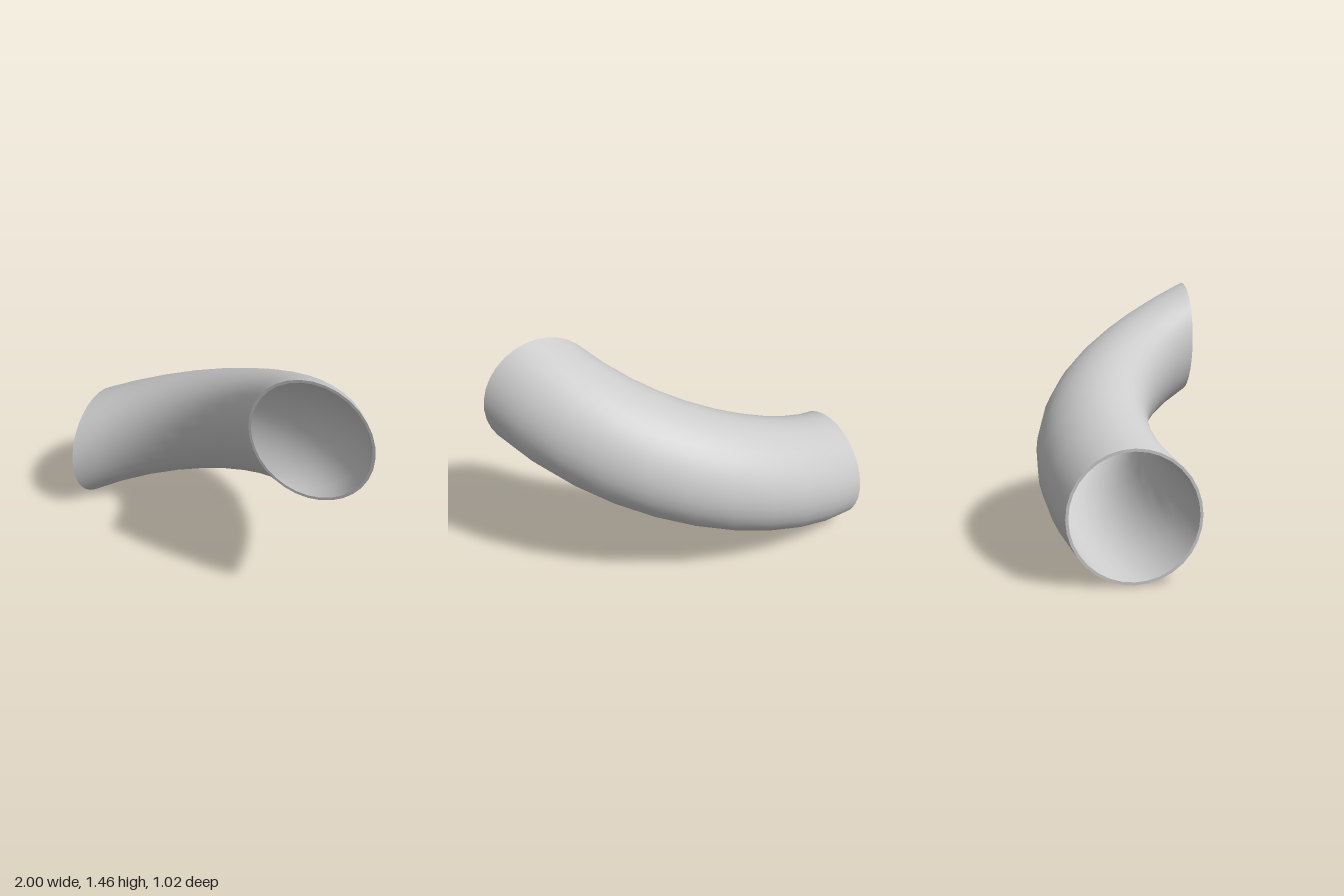
import * as THREE from 'three';

const STEPS = 10, SIDES = 32;
const OUTER = 0.342, INNER = 0.327;
const ARC = { x: -0.462, z: 1.038, radius: 1.24, start: -25.7 };

// One upright circle of the pipe; its plane turns a quarter turn along the bend
function ring(step, radius) {
  const t = step / STEPS;
  const along = THREE.MathUtils.degToRad(ARC.start + 90 * t);
  const turn = t * Math.PI / 2;
  const cx = ARC.x + ARC.radius * Math.sin(along);
  const cz = ARC.z - ARC.radius * Math.cos(along);
  const cy = OUTER + 0.772 * t - 0.017 * Math.sin(Math.PI * t);
  return Array.from({ length: SIDES }, (_, j) => {
    const a = j / SIDES * Math.PI * 2;
    const side = radius * Math.cos(a);
    return [cx - Math.sin(turn) * side, cy + radius * Math.sin(a), cz + Math.cos(turn) * side];
  });
}

// Skin a list of rings, sharing vertices around the seam for smooth normals
function loft(name, rings, material) {
  const index = [];
  for (let i = 0; i < rings.length - 1; i++) {
    for (let j = 0; j < SIDES; j++) {
      const k = (j + 1) % SIDES;
      const a = i * SIDES + j, b = a + SIDES;
      const c = i * SIDES + k, d = c + SIDES;
      index.push(a, b, c, b, d, c);
    }
  }
  const geometry = new THREE.BufferGeometry();
  geometry.setAttribute('position', new THREE.Float32BufferAttribute(rings.flat(2), 3));
  geometry.setIndex(index);
  geometry.computeVertexNormals();
  const mesh = new THREE.Mesh(geometry, material);
  mesh.name = name;
  return mesh;
}

export function createModel() {
  const group = new THREE.Group();
  group.name = 'curvedPipe';
  const material = new THREE.MeshStandardMaterial({ color: 0xcccccc });

  const outer = [], inner = [];
  for (let i = 0; i <= STEPS; i++) {
    outer.push(ring(i, OUTER));
    inner.push(ring(i, INNER));
  }

  // Walls and the thin flat rims closing the gap at both open ends
  group.add(
    loft('outerWall', outer, material),
    loft('innerWall', [...inner].reverse(), material),
    loft('lowerRim', [inner[0], outer[0]], material),
    loft('upperRim', [outer[STEPS], inner[STEPS]], material)
  );
  return group;
}
